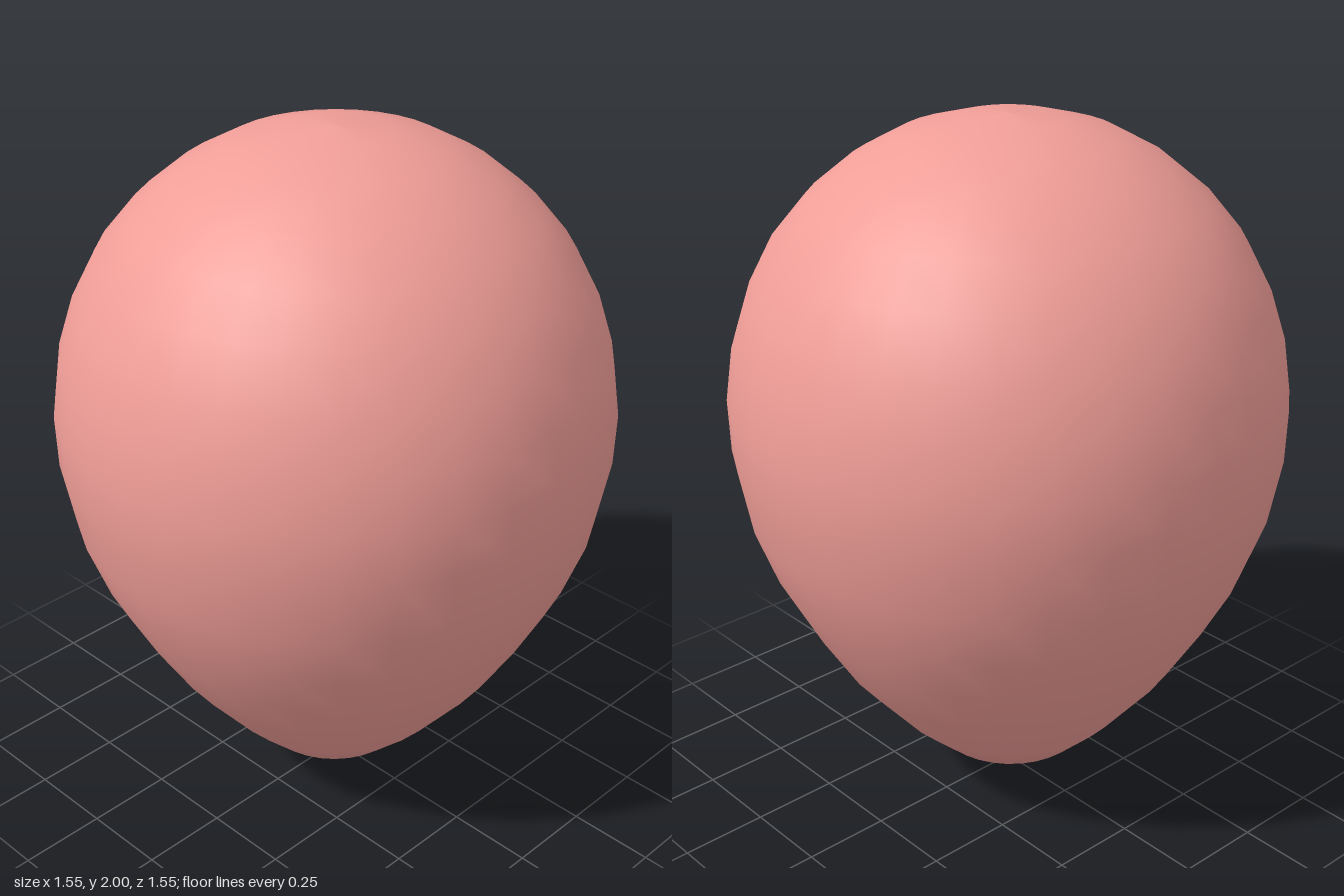
import * as THREE from 'three';

const SEGMENTS = 32;

// Surface of revolution from [radius, height] pairs, listed bottom to top
function lathe(name, profile, material) {
  const points = profile.map(([r, y]) => new THREE.Vector2(r, y));
  const mesh = new THREE.Mesh(new THREE.LatheGeometry(points, SEGMENTS), material);
  mesh.name = name;
  return mesh;
}

export function createModel() {
  const group = new THREE.Group();
  group.name = 'balloon';
  const rubber = new THREE.MeshStandardMaterial({ color: 0xf09d97 });
  const thinRubber = new THREE.MeshStandardMaterial({ color: 0xf09d97, side: THREE.DoubleSide });

  // Inflated teardrop body
  const body = lathe('body', [
    [0, 0.038], [0.085, 0.053], [0.22, 0.115], [0.345, 0.235], [0.495, 0.415],
    [0.597, 0.58], [0.677, 0.73], [0.738, 0.895], [0.773, 1.085], [0.777, 1.235],
    [0.755, 1.385], [0.71, 1.525], [0.64, 1.66], [0.545, 1.775], [0.43, 1.87],
    [0.3, 1.942], [0.153, 1.985], [0, 2],
  ], rubber);

  // The lowest part leans slightly towards the knot
  const pos = body.geometry.attributes.position;
  for (let i = 0; i < pos.count; i++) {
    const lean = Math.max(0, 1 - pos.getY(i) / 0.3);
    pos.setX(i, pos.getX(i) - 0.013 * lean);
  }
  body.geometry.computeBoundingSphere();
  group.add(body);

  // Flared, hollow neck below the body
  const neck = lathe('neck', [
    [0.046, 0], [0.052, 0.003], [0.05, 0.012], [0.038, 0.03], [0.03, 0.05],
  ], thinRubber);
  neck.position.x = -0.012;
  group.add(neck);

  return group;
}
